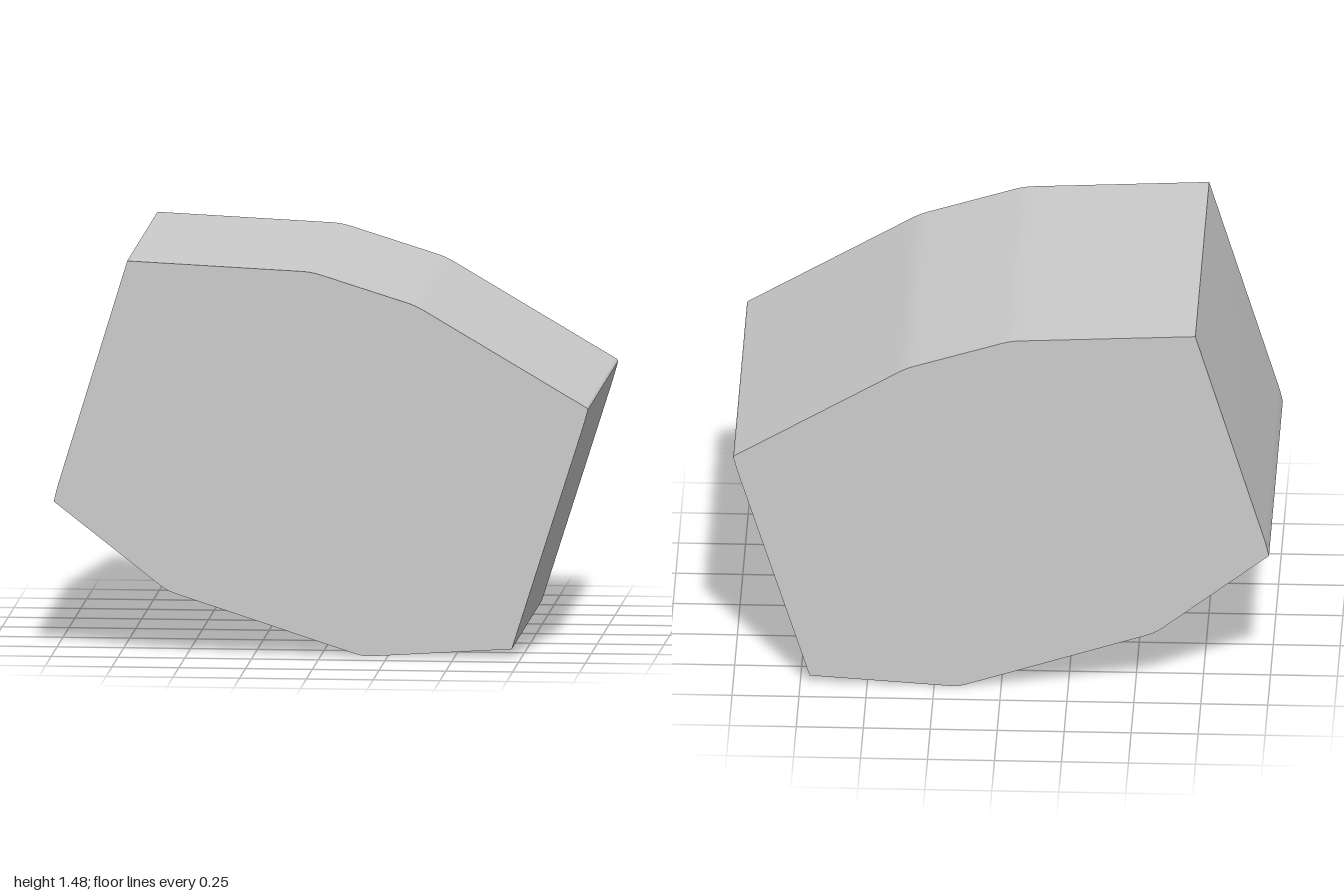
import * as THREE from 'three';
import { toCreasedNormals } from 'three/addons/utils/BufferGeometryUtils.js';

const DEPTH = 1.28;

// Outline corners, counter-clockwise: x, y, fillet length (0 keeps the corner sharp)
const CORNERS = [
  [0.715, 0.035, 0],
  [0.985, 0.885, 0.04],
  [1, 0.94, 0],
  [0.995, 0.948, 0],
  [0.355, 1.325, 0.035],
  [-0.035, 1.447, 0.035],
  [-0.725, 1.48, 0],
  [-0.99, 0.615, 0.03],
  [-1, 0.57, 0],
  [-0.575, 0.238, 0.035],
  [0.16, 0, 0.03],
];

// Closed outline with small rounded bends
function outline() {
  const shape = new THREE.Shape();
  const n = CORNERS.length;
  const point = (i) => new THREE.Vector2(CORNERS[(i + n) % n][0], CORNERS[(i + n) % n][1]);
  const towards = (p, q, d) => q.clone().sub(p).setLength(d).add(p);
  CORNERS.forEach(([x, y, fillet], i) => {
    const p = point(i);
    if (!fillet) {
      if (i === 0) shape.moveTo(x, y);
      else shape.lineTo(x, y);
      return;
    }
    const a = towards(p, point(i - 1), fillet);
    const b = towards(p, point(i + 1), fillet);
    shape.lineTo(a.x, a.y);
    shape.quadraticCurveTo(x, y, b.x, b.y);
  });
  shape.closePath();
  return shape;
}

export function createModel() {
  const group = new THREE.Group();
  group.name = 'facetedBlock';

  // Solid prism running front to back
  const geometry = new THREE.ExtrudeGeometry(outline(), {
    depth: DEPTH, bevelEnabled: false, curveSegments: 4,
  });
  geometry.translate(0, 0, -DEPTH / 2);

  const block = new THREE.Mesh(
    toCreasedNormals(geometry, 0.4),
    new THREE.MeshStandardMaterial({ color: 0xcccccc }),
  );
  block.name = 'block';
  group.add(block);
  return group;
}
